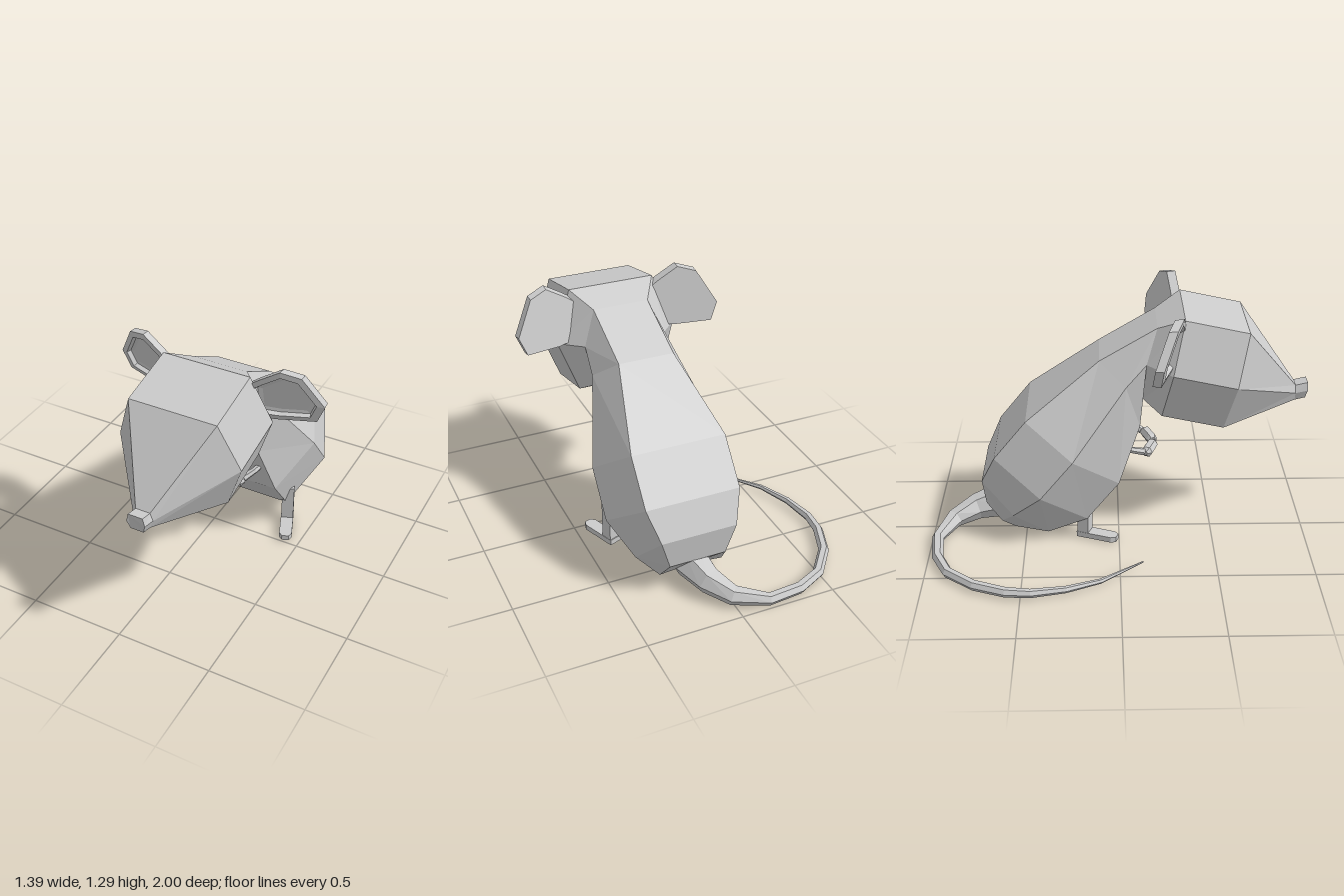
import * as THREE from 'three';

const material = new THREE.MeshStandardMaterial({ color: 0xcccccc, flatShading: true });
const V = (x, y, z) => new THREE.Vector3(x, y, z);

// Skins a list of equal-length rings, caps both ends and turns the faces outward.
function loft(name, rings) {
  const n = rings[0].length, index = [], points = rings.flat();
  for (let i = 0; i < rings.length - 1; i++) {
    for (let j = 0; j < n; j++) {
      const a = i * n + j, b = i * n + (j + 1) % n;
      index.push(a, b, b + n, a, b + n, a + n);
    }
  }
  const last = (rings.length - 1) * n;
  for (let j = 1; j < n - 1; j++) {
    index.push(0, j + 1, j, last, last + j, last + j + 1);
  }
  let volume = 0;
  const c = V(0, 0, 0);
  for (let i = 0; i < index.length; i += 3) {
    volume += c.crossVectors(points[index[i]], points[index[i + 1]]).dot(points[index[i + 2]]);
  }
  if (volume < 0) index.reverse();
  const geometry = new THREE.BufferGeometry().setFromPoints(points);
  geometry.setIndex(index);
  geometry.computeVertexNormals();
  const mesh = new THREE.Mesh(geometry, material);
  mesh.name = name;
  return mesh;
}

// Six-sided tube with its own radius at every point [x, y, z, radius].
function taperedTube(name, path) {
  const pts = path.map(p => V(p[0], p[1], p[2]));
  return loft(name, pts.map((p, i) => {
    const dir = pts[Math.min(i + 1, pts.length - 1)].clone().sub(pts[Math.max(i - 1, 0)]).normalize();
    const side = V(0, 1, 0).cross(dir).normalize();
    const up = dir.clone().cross(side);
    return Array.from({ length: 6 }, (_, k) => {
      const a = k * Math.PI / 3, r = path[i][3];
      return p.clone().addScaledVector(side, Math.cos(a) * r).addScaledVector(up, Math.sin(a) * r);
    });
  }));
}

// Hexagonal section: [centre x, [z, y, half width] for top, middle and bottom].
const hexagon = ([cx, [tz, ty, tw], [mz, my, mw], [bz, by, bw]]) => [
  V(cx - tw, ty, tz), V(cx + tw, ty, tz), V(cx + mw, my, mz),
  V(cx + bw, by, bz), V(cx - bw, by, bz), V(cx - mw, my, mz),
];

function createEar(side) {
  // Outline as [distance from the head's centre, height]
  const outline = [[0.2, 1.19], [0.255, 1.23], [0.36, 1.297], [0.455, 1.27],
    [0.55, 1.1], [0.51, 1.003], [0.32, 0.99], [0.2, 1.0]];
  const ring = (scale, lift) => outline.map(([d, y]) => {
    const dx = 0.37 + (d - 0.37) * scale, h = 1.135 + (y - 1.135) * scale;
    return V(0.14 + side * dx, h, 0.165 + 0.24 * (h - 1.1) + 0.3 * (0.55 - dx) + lift);
  });
  // Back, front edge, raised rim, sunken inside
  return loft(side > 0 ? 'leftEar' : 'rightEar',
    [ring(0.97, 0), ring(1, 0.045), ring(0.8, 0.05), ring(0.74, 0.025), ring(0.62, 0.02)]);
}

function createLeg(side) {
  const leg = new THREE.Group();
  leg.name = side > 0 ? 'leftLeg' : 'rightLeg';
  const shin = new THREE.Mesh(new THREE.BoxGeometry(0.065, 0.235, 0.06), material);
  shin.name = 'shin';
  shin.position.y = 0.1275;
  // Flat foot with a chamfered toe
  const sole = new THREE.Shape([[-0.034, 0.035], [-0.034, -0.16], [-0.018, -0.185],
    [0.018, -0.185], [0.034, -0.16], [0.034, 0.035]].map(p => new THREE.Vector2(...p)));
  const foot = new THREE.Mesh(
    new THREE.ExtrudeGeometry(sole, { depth: 0.03, bevelEnabled: false }).rotateX(-Math.PI / 2), material);
  foot.name = 'foot';
  foot.position.y = 0.012;
  leg.add(shin, foot);
  leg.position.set(0.13 + side * 0.23, 0, -0.183);
  leg.rotation.y = side * 0.37;
  return leg;
}

function createArm(side) {
  const x = d => 0.113 + side * d;
  const arm = new THREE.Group();
  arm.name = side > 0 ? 'leftArm' : 'rightArm';
  arm.add(
    taperedTube('forearm', [[x(0.185), 0.52, 0.03, 0.016], [x(0.165), 0.497, 0.075, 0.017],
      [x(0.125), 0.467, 0.13, 0.02]]),
    taperedTube('hand', [[x(0.137), 0.464, 0.14, 0.014], [x(0.12), 0.463, 0.15, 0.031],
      [x(0.03), 0.463, 0.182, 0.031], [x(0.008), 0.463, 0.188, 0.02]]));
  return arm;
}

export function createModel() {
  const model = new THREE.Group();

  // Body, head and snout in one skin, from rump to nose
  model.add(loft('bodyAndHead', [
    [0.106, [-0.71, 0.18, 0.15], [-0.63, 0.08, 0.17], [-0.56, 0.025, 0.14]],
    [0.106, [-0.725, 0.34, 0.2], [-0.56, 0.17, 0.27], [-0.38, 0.02, 0.19]],
    [0.107, [-0.65, 0.5, 0.25], [-0.41, 0.32, 0.362], [-0.17, 0.135, 0.25]],
    [0.108, [-0.48, 0.71, 0.25], [-0.24, 0.53, 0.362], [0, 0.35, 0.253]],
    [0.115, [-0.1, 1.0, 0.148], [0.035, 0.89, 0.24], [0.11, 0.65, 0.19]],
    [0.13, [0.195, 1.17, 0.148], [0.14, 1.0, 0.22], [0.125, 0.78, 0.15]],
    [0.13, [0.33, 1.24, 0.23], [0.27, 0.98, 0.325], [0.22, 0.72, 0.23]],
    [0.13, [0.655, 1.17, 0.23], [0.595, 0.91, 0.325], [0.54, 0.65, 0.23]],
    [0.13, [0.935, 0.8, 0.038], [0.935, 0.76, 0.052], [0.935, 0.715, 0.036]],
    [0.13, [1, 0.815, 0.038], [1, 0.772, 0.048], [0.99, 0.727, 0.034]],
  ].map(hexagon)));

  // Tail curling round on the ground
  model.add(taperedTube('tail', [
    [0.11, 0.12, -0.62, 0.1], [0.075, 0.088, -0.78, 0.07], [0.0, 0.058, -0.895, 0.05],
    [-0.16, 0.037, -0.968, 0.032], [-0.34, 0.032, -0.948, 0.03], [-0.485, 0.032, -0.88, 0.028],
    [-0.605, 0.035, -0.735, 0.027], [-0.667, 0.035, -0.575, 0.026], [-0.68, 0.035, -0.45, 0.023],
    [-0.65, 0.035, -0.275, 0.018], [-0.58, 0.035, -0.1, 0.013], [-0.41, 0.035, 0.12, 0.004]]));

  for (const side of [-1, 1]) model.add(createEar(side), createArm(side), createLeg(side));
  return model;
}
